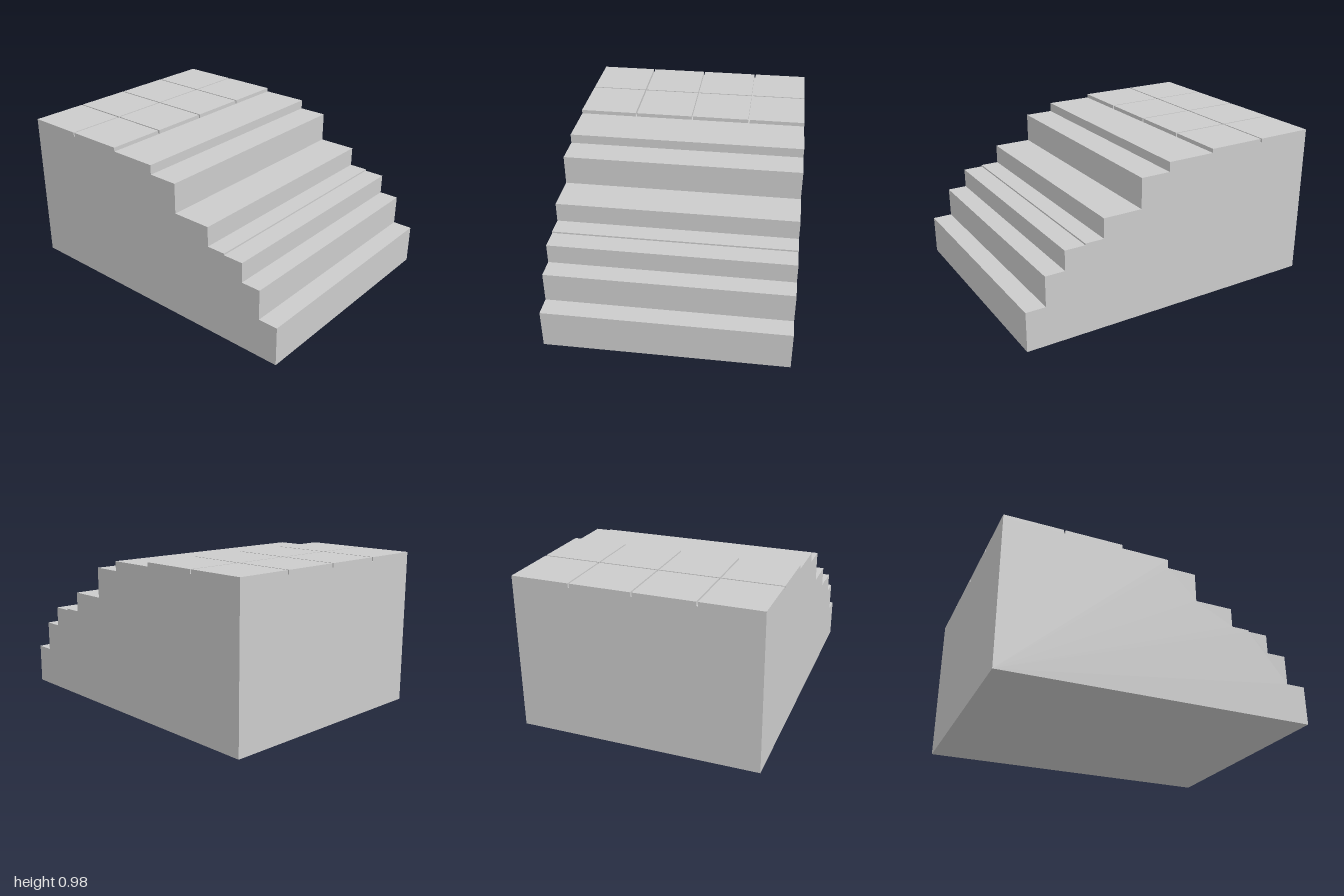
import * as THREE from 'three';

const material = new THREE.MeshStandardMaterial({ color: 0xcccccc, flatShading: true });
const DEPTH = 1.5;
const BASE_TOP = 0.95;

// Right-hand end and height of each tread, from the top landing down
const TREADS = [
  [0.06, BASE_TOP], [0.25, 0.89], [0.5, 0.7], [0.62, 0.575],
  [0.75, 0.565], [0.875, 0.44], [1, 0.25],
];

// Solid stepped body, one profile extruded along z
function createSteps() {
  const shape = new THREE.Shape();
  shape.moveTo(-1, 0);
  shape.lineTo(1, 0);
  for (let i = TREADS.length - 1; i >= 0; i--) {
    const [end, height] = TREADS[i];
    shape.lineTo(end, height);
    shape.lineTo(i > 0 ? TREADS[i - 1][0] : -1, height);
  }
  shape.closePath();
  const geometry = new THREE.ExtrudeGeometry(shape, { depth: DEPTH, bevelEnabled: false });
  geometry.translate(0, 0, -DEPTH / 2);
  const mesh = new THREE.Mesh(geometry, material);
  mesh.name = 'steppedBody';
  return mesh;
}

// Paving slabs on the landing, separated by narrow joints
function createPaving() {
  const group = new THREE.Group();
  group.name = 'paving';
  const size = 0.37, gap = 0.01, thickness = 0.025;
  for (let column = 0; column < 2; column++) {
    for (let row = 0; row < 4; row++) {
      const x = -1 + column * (size + gap) + size / 2;
      const front = DEPTH / 2 - row * (size + gap);
      const back = Math.max(front - size, -DEPTH / 2); // last row is trimmed to the edge
      const slab = new THREE.Mesh(new THREE.BoxGeometry(size, thickness, front - back), material);
      slab.position.set(x, BASE_TOP + thickness / 2, (front + back) / 2);
      slab.name = 'pavingSlab';
      group.add(slab);
    }
  }
  return group;
}

export function createModel() {
  const model = new THREE.Group();
  model.name = 'steppedTerrace';
  model.add(createSteps(), createPaving());
  return model;
}
